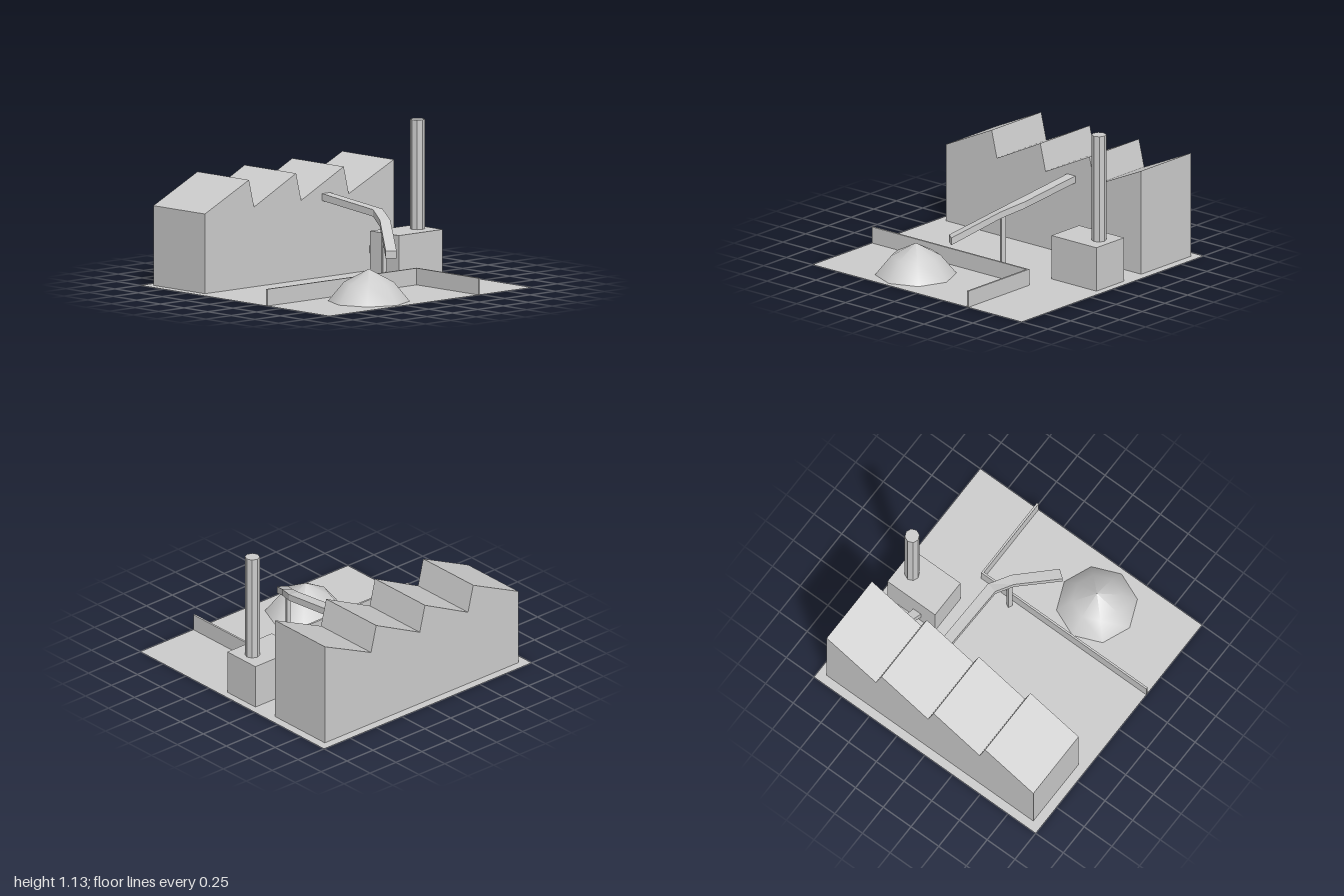
import * as THREE from 'three';

const flat = new THREE.MeshStandardMaterial({ color: 0xcccccc, flatShading: true, side: THREE.DoubleSide });
const smooth = new THREE.MeshStandardMaterial({ color: 0xcccccc, side: THREE.DoubleSide });

function add(parent, name, geometry, material = flat) {
  const mesh = new THREE.Mesh(geometry, material);
  mesh.name = name;
  parent.add(mesh);
  return mesh;
}

// Skin between successive cross-sections; each section is a list of [x, y, z]
function skin(sections, closed) {
  const pos = [];
  for (let i = 0; i < sections.length - 1; i++) {
    const s = sections[i], t = sections[i + 1], n = s.length;
    for (let j = 0; j < (closed ? n : n - 1); j++) {
      const k = (j + 1) % n;
      pos.push(...s[j], ...s[k], ...t[k], ...s[j], ...t[k], ...t[j]);
    }
  }
  const g = new THREE.BufferGeometry();
  g.setAttribute('position', new THREE.Float32BufferAttribute(pos, 3));
  g.computeVertexNormals();
  return g;
}

// Flat polygon with optional holes; sign flips the first coordinate
function panel(points, holes = [], sx = 1, sy = 1) {
  const vec = (list) => list.map(([a, b]) => new THREE.Vector2(a * sx, b * sy));
  const shape = new THREE.Shape(vec(points));
  holes.forEach((h) => shape.holes.push(new THREE.Path(vec(h))));
  return new THREE.ShapeGeometry(shape);
}
const floorPanel = (points, holes) => panel(points, holes, 1, -1).rotateX(-Math.PI / 2);
const rect = (a0, a1, b0, b1) => [[a0, b0], [a1, b0], [a1, b1], [a0, b1]];

// Bottomless building: a (z, y) profile running back to front, swept from x0 to x1
function shell(name, profile, x0, x1, holes0, holes1) {
  const g = new THREE.Group();
  g.name = name;
  const at = (x) => profile.map(([z, y]) => [x, y, z]);
  add(g, name + 'RoofAndEnds', skin([at(x0), at(x1)], false));
  add(g, name + 'RightWall', panel(profile, holes0).rotateY(-Math.PI / 2).translate(x0, 0, 0));
  add(g, name + 'LeftWall', panel(profile, holes1, -1).rotateY(Math.PI / 2).translate(x1, 0, 0));
  return g;
}

// Square section of a duct: back and front edges [x, z], bottom and top heights
const section = ([bx, bz], [fx, fz], y0, y1) =>
  [[bx, y0, bz], [bx, y1, bz], [fx, y1, fz], [fx, y0, fz]];
const opening = (s) => s.map(([, y, z]) => [z, y]);

export function createModel() {
  const model = new THREE.Group();
  model.name = 'factory';

  // Ground, open beneath the buildings and the yard wall
  add(model, 'ground', floorPanel(
    [[-1, -1], [1, -1], [1, -0.49], [0.33, -0.49], [0.33, 1], [-1, 1]],
    [rect(-0.935, -0.39, -0.935, 0.93), rect(-0.19, 0.115, -0.945, -0.515)]));
  add(model, 'yardGround', floorPanel(rect(0.345, 1, -0.475, 1)));

  const conveyor = [
    section([-0.39, -0.305], [-0.39, -0.227], 0.558, 0.61),
    section([0.165, -0.305], [0.15, -0.227], 0.503, 0.553),
    section([0.337, -0.222], [0.289, -0.163], 0.45, 0.5),
    section([0.633, -0.008], [0.585, 0.055], 0.275, 0.33),
  ];
  const duct = [
    section([-0.39, -0.745], [-0.39, -0.695], 0.127, 0.182),
    section([-0.19, -0.712], [-0.19, -0.643], 0.068, 0.135),
  ];

  // Main hall with a sawtooth roof
  const teeth = [[-0.935, 0], [-0.935, 0.785]];
  [-0.49, -0.02, 0.445].forEach((z) => teeth.push([z, 0.582], [z + 0.05, 0.785]));
  teeth.push([0.93, 0.582], [0.93, 0]);
  model.add(shell('mainHall', teeth, -0.935, -0.39, [], [opening(conveyor[0]), opening(duct[0])]));

  // Boiler house and chimney
  const box = [[-0.945, 0], [-0.945, 0.33], [-0.515, 0.33], [-0.515, 0]];
  model.add(shell('boilerHouse', box, -0.19, 0.115, [opening(duct[1])], []));
  const chimney = new THREE.Group();
  chimney.name = 'chimney';
  chimney.position.set(-0.036, 0.33, -0.838);
  add(chimney, 'chimneyShaft', new THREE.CylinderGeometry(0.054, 0.054, 0.8, 8, 1, true)).position.y = 0.4;
  add(chimney, 'chimneyTop', new THREE.CircleGeometry(0.054, 8).rotateX(-Math.PI / 2)).position.y = 0.8;
  model.add(chimney);

  // Duct joining the two buildings
  add(model, 'duct', skin(duct, true));

  // Bent conveyor with a closed tip, carried on a post
  add(model, 'conveyor', skin(conveyor, true));
  const [a, b, c, d] = conveyor[3];
  add(model, 'conveyorTip', skin([[a, b], [d, c]], false));
  const post = add(model, 'conveyorPost', new THREE.BoxGeometry(0.033, 0.46, 0.028));
  post.position.set(0.29, 0.23, -0.204);
  post.rotation.y = -0.45;

  // L-shaped yard wall
  const wall = [[0.33, 1], [0.345, 1], [0.345, -0.475], [1, -0.475], [1, -0.49], [0.33, -0.49]];
  const ring = (y) => wall.map(([x, z]) => [x, y, z]);
  add(model, 'yardWallSides', skin([ring(0), ring(0.122)], true));
  add(model, 'yardWallTop', floorPanel(wall).translate(0, 0.122, 0));

  // Heap of material under the conveyor tip
  const heap = [[0.295, 0], [0.18, 0.14], [0, 0.235]].map(([r, y]) => new THREE.Vector2(r, y));
  add(model, 'heap', new THREE.LatheGeometry(heap, 8), smooth).position.set(0.67, 0, 0.3);

  return model;
}
